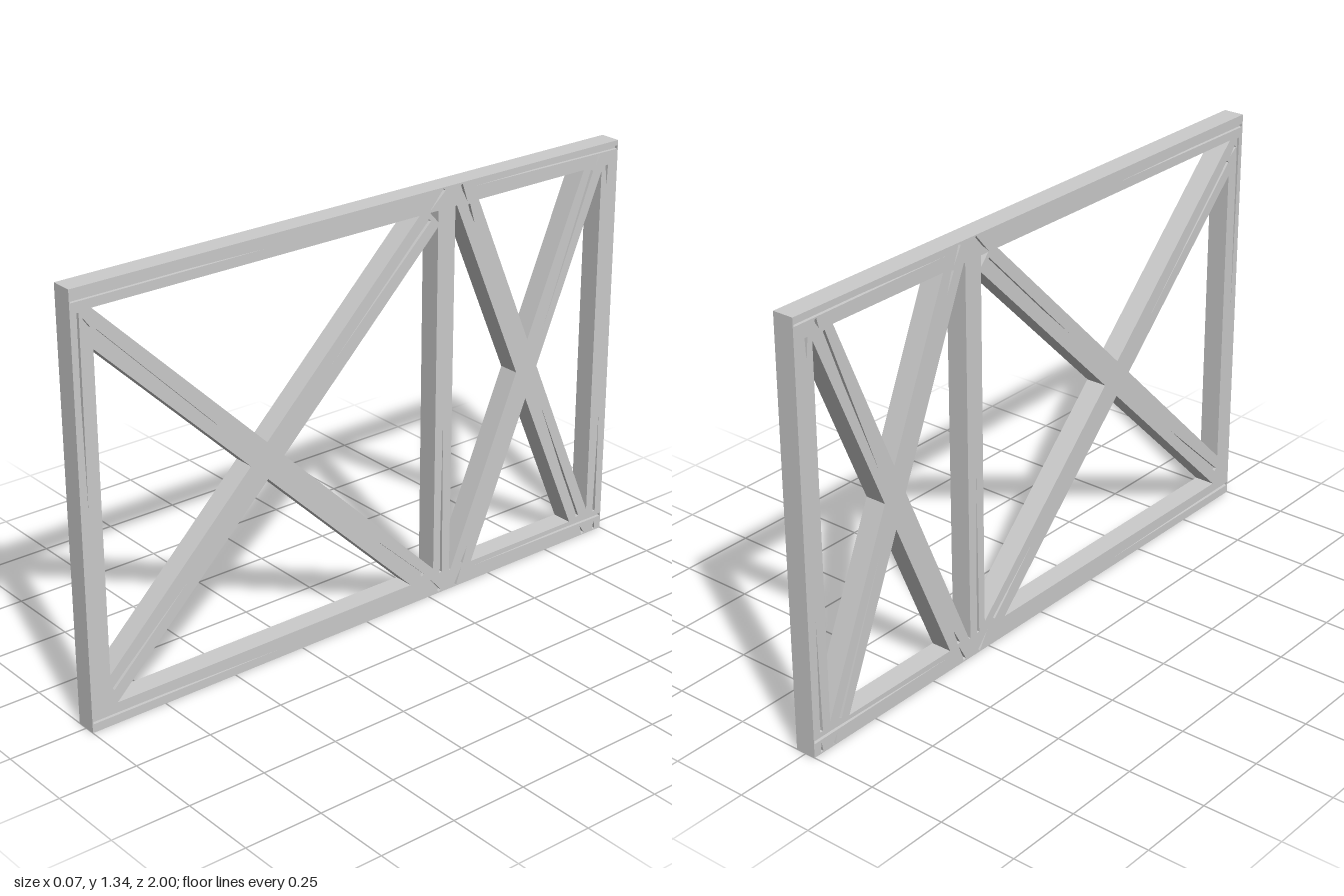
import * as THREE from 'three';
import { mergeGeometries } from 'three/addons/utils/BufferGeometryUtils.js';

const HALF = 0.034;   // half the frame thickness (x)
const GROOVE = 0.01;  // depth of the wood cracks
const H = 1.337;      // frame height
const material = new THREE.MeshStandardMaterial({ color: 0xcccccc, flatShading: true });

const toPath = (points, Type) => new Type(points.map(([z, y]) => new THREE.Vector2(z, y)));

// Tapering crack: wide at (z0, y0), running out to a point at (z1, y1)
function crackPath([z0, y0, z1, y1], width = 0.011) {
  const len = Math.hypot(z1 - z0, y1 - y0);
  const nz = -(y1 - y0) / len * width / 2, ny = (z1 - z0) / len * width / 2;
  return toPath([[z0 + nz, y0 + ny], [z0 - nz, y0 - ny], [z1, y1]], THREE.Path);
}

// Plate lying in the z-y plane between two x positions
function plate(outline, cracks, x0, x1) {
  const shape = toPath(outline, THREE.Shape);
  shape.holes = cracks.map(c => crackPath(c));
  const geo = new THREE.ExtrudeGeometry(shape, { depth: x1 - x0, bevelEnabled: false });
  return geo.rotateY(-Math.PI / 2).translate(x1, 0, 0);
}

// Timber: solid core with a cracked skin on both faces
function timber(name, outline, cracks) {
  const inner = HALF - GROOVE;
  const mesh = new THREE.Mesh(mergeGeometries([
    plate(outline, [], -inner, inner),
    plate(outline, cracks, inner, HALF),
    plate(outline, cracks, -HALF, -inner),
  ]), material);
  mesh.name = name;
  return mesh;
}

const rect = (z0, z1, y0, y1) => [[z0, y0], [z1, y0], [z1, y1], [z0, y1]];

export function createModel() {
  const group = new THREE.Group();
  group.name = 'crossBracedFrame';
  const lo = 0.067, hi = 1.27;

  // Rails, running the full length
  group.add(timber('topRail', rect(-1, 1, hi, H), [
    [0.997, 1.303, 0.36, 1.3], [-0.997, 1.315, -0.41, 1.315],
    [-0.29, 1.33, -0.235, 1.275], [-0.355, 1.33, -0.38, 1.275],
    [-0.92, 1.304, -0.907, 1.275],
  ]));
  group.add(timber('bottomRail', rect(-1, 1, 0, lo), [
    [0.997, 0.033, 0.34, 0.028], [-0.997, 0.05, -0.43, 0.048],
    [-0.295, 0.006, -0.255, 0.06], [-0.36, 0.006, -0.385, 0.062],
    [-0.92, 0.005, -0.906, 0.036], [-0.97, 0.005, -0.97, 0.036],
  ]));

  // Posts, standing between the rails
  group.add(timber('frontPost', rect(0.933, 1, lo, hi), [
    [0.978, 1.266, 0.975, 0.68], [0.964, 1.243, 0.938, 1.216],
  ]));
  group.add(timber('middlePost', rect(-0.333, -0.267, lo, hi), [
    [-0.298, 0.07, -0.298, 0.6],
  ]));
  group.add(timber('backPost', rect(-1, -0.933, lo, hi), [
    [-0.968, 0.07, -0.97, 0.43], [-0.955, 1.266, -0.957, 1.2],
  ]));

  // Wide bay braces; the rising one has a clipped top end
  group.add(timber('wideFallingBrace',
    [[0.933, hi], [0.933, 1.153], [-0.175, lo], [-0.267, lo], [-0.267, 0.093]],
    [[0.925, 1.203, 0.53, 0.81], [-0.225, 0.085, -0.045, 0.26]]));
  group.add(timber('wideRisingBrace',
    [[0.933, 0.163], [0.933, lo], [0.913, lo], [-0.267, 1.22],
      [-0.267, 1.235], [-0.235, hi], [-0.195, hi]],
    [[0.925, 0.115, 0.66, 0.365], [-0.235, 1.248, 0.13, 0.895]]));

  // Narrow bay braces, mirrored top to bottom
  const narrow = [[-0.339, hi], [-0.425, hi], [-0.933, 0.087], [-0.933, lo], [-0.856, lo]];
  group.add(timber('narrowFallingBrace', narrow,
    [[-0.892, 0.076, -0.706, 0.53], [-0.385, 1.264, -0.41, 1.2]]));
  group.add(timber('narrowRisingBrace', narrow.map(([z, y]) => [z, H - y]),
    [[-0.892, 1.262, -0.702, 0.78], [-0.385, 0.074, -0.407, 0.125]]));

  return group;
}
